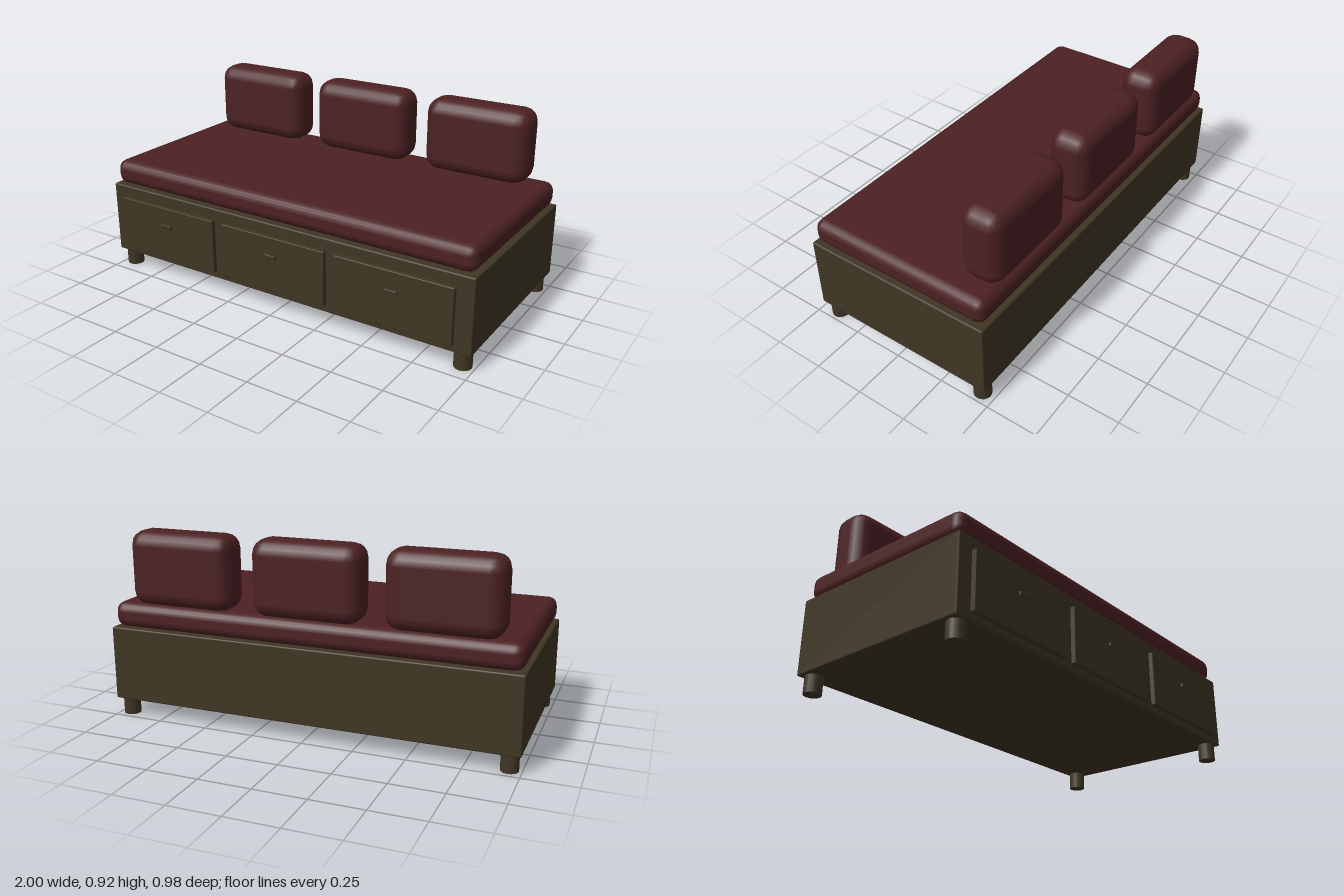
import * as THREE from 'three';
import { RoundedBoxGeometry } from 'three/addons/geometries/RoundedBoxGeometry.js';

const wood = new THREE.MeshStandardMaterial({ name: 'dark wood', color: 0x3f3624 });
const fabric = new THREE.MeshStandardMaterial({ name: 'maroon fabric', color: 0x4c2123 });

export function createModel() {
  const group = new THREE.Group();
  group.name = 'daybed';

  // Rounded block given by its minimum and maximum corners
  const block = (name, material, min, max, radius, segments) => {
    const size = max.map((v, i) => v - min[i]);
    const mesh = new THREE.Mesh(new RoundedBoxGeometry(...size, segments, radius), material);
    mesh.position.set(...max.map((v, i) => (v + min[i]) / 2));
    mesh.name = name;
    group.add(mesh);
    return mesh;
  };

  // Base cabinet and mattress
  block('base', wood, [-1, 0.083, -0.488], [1, 0.447, 0.457], 0.007, 1);
  block('mattress', fabric, [-0.99, 0.447, -0.478], [0.99, 0.569, 0.447], 0.045, 2);

  // Three drawers with handles, and a back cushion above each
  ['right', 'middle', 'left'].forEach((side, i) => {
    const x = (i - 1) * 0.632 - 0.003;
    block(side + 'Drawer', wood, [x - 0.289, 0.118, 0.45], [x + 0.289, 0.39, 0.479], 0.004, 1);
    block(side + 'Handle', wood, [x - 0.032, 0.287, 0.475], [x + 0.032, 0.306, 0.491], 0.003, 1);
    block(side + 'Cushion', fabric, [x - 0.264, 0.564, -0.483], [x + 0.262, 0.923, -0.287], 0.07, 2);
  });

  // Four round feet
  const footGeometry = new THREE.CylinderGeometry(0.041, 0.041, 0.09, 16);
  for (const x of [-0.945, 0.945]) {
    for (const z of [-0.437, 0.406]) {
      const foot = new THREE.Mesh(footGeometry, wood);
      foot.position.set(x, 0.045, z);
      foot.name = (z > 0 ? 'front' : 'back') + (x > 0 ? 'Left' : 'Right') + 'Foot';
      group.add(foot);
    }
  }
  return group;
}
